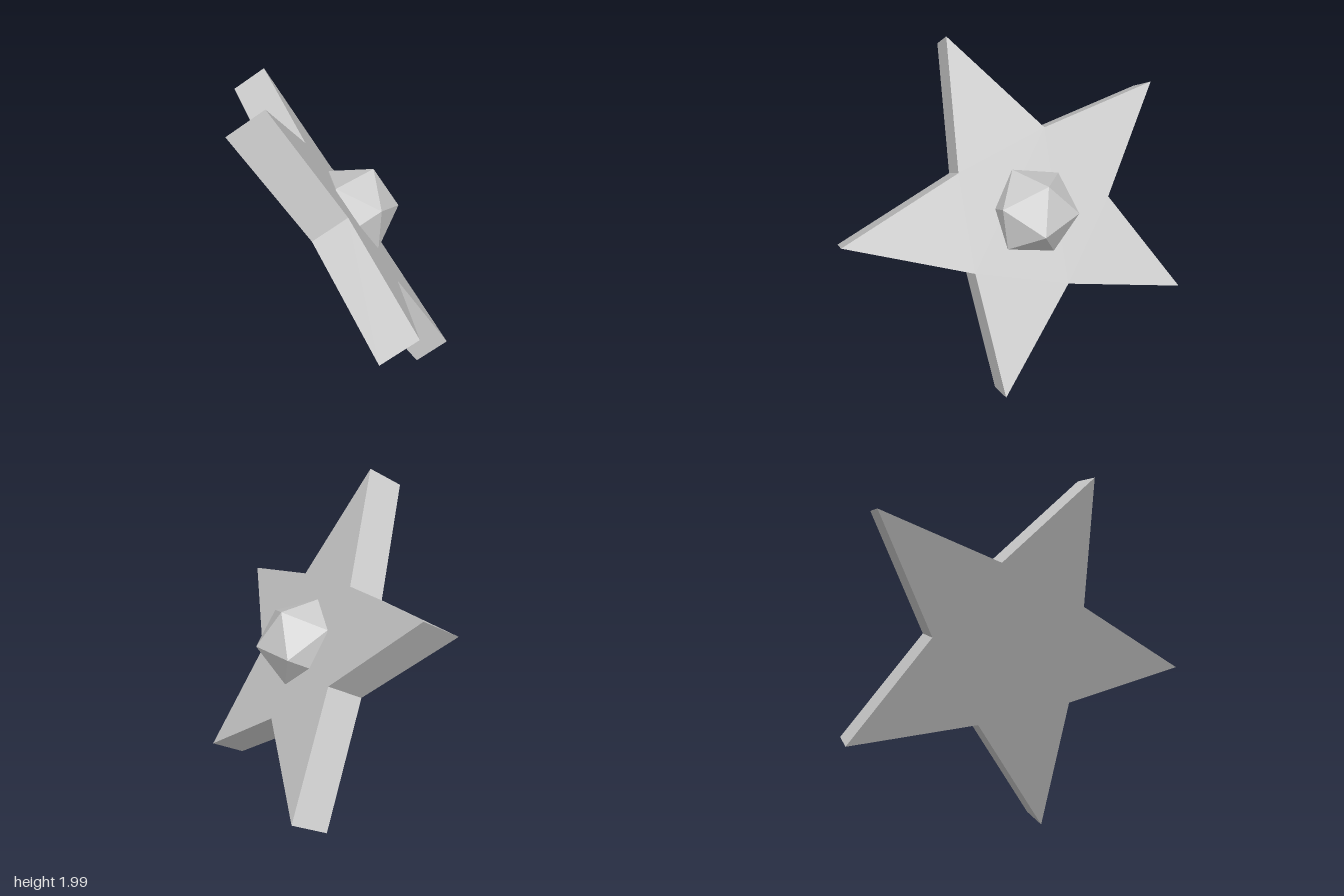
import * as THREE from 'three';

const TIP_RADIUS = 1.14;
const NOTCH_RADIUS = 0.512;
const DEPTH = 0.237;
const GEM_RADIUS = 0.281;
const deg = THREE.MathUtils.degToRad;

// Five-pointed outline, alternating tips and notches
function starShape() {
  const points = [];
  for (let i = 0; i < 10; i++) {
    const r = i % 2 ? NOTCH_RADIUS : TIP_RADIUS;
    const a = (i * Math.PI) / 5;
    points.push(new THREE.Vector2(r * Math.cos(a), r * Math.sin(a)));
  }
  return new THREE.Shape(points);
}

export function createModel() {
  const grey = new THREE.MeshStandardMaterial({ color: 0xcccccc });
  grey.name = 'light grey';

  const model = new THREE.Group();
  model.name = 'star';

  // Everything is built around the centre of the star's front face, then tilted
  const tilted = new THREE.Group();
  tilted.name = 'tiltedStar';
  tilted.position.set(0.02, 1.048, 0.082);
  tilted.rotation.set(deg(-45), deg(45), 0);
  model.add(tilted);

  // Thick star plate
  const plateGeometry = new THREE.ExtrudeGeometry(starShape(), { depth: DEPTH, bevelEnabled: false });
  plateGeometry.translate(0, 0, -DEPTH);
  const plate = new THREE.Mesh(plateGeometry, grey);
  plate.name = 'starPlate';
  plate.rotation.z = deg(-3.5);
  tilted.add(plate);

  // Faceted gem half sunk into the middle of the front face
  const gem = new THREE.Mesh(new THREE.IcosahedronGeometry(GEM_RADIUS, 0), grey);
  gem.name = 'centreGem';
  gem.position.set(0.002, 0.004, 0.005);
  gem.rotation.z = deg(19.7);
  tilted.add(gem);

  return model;
}
